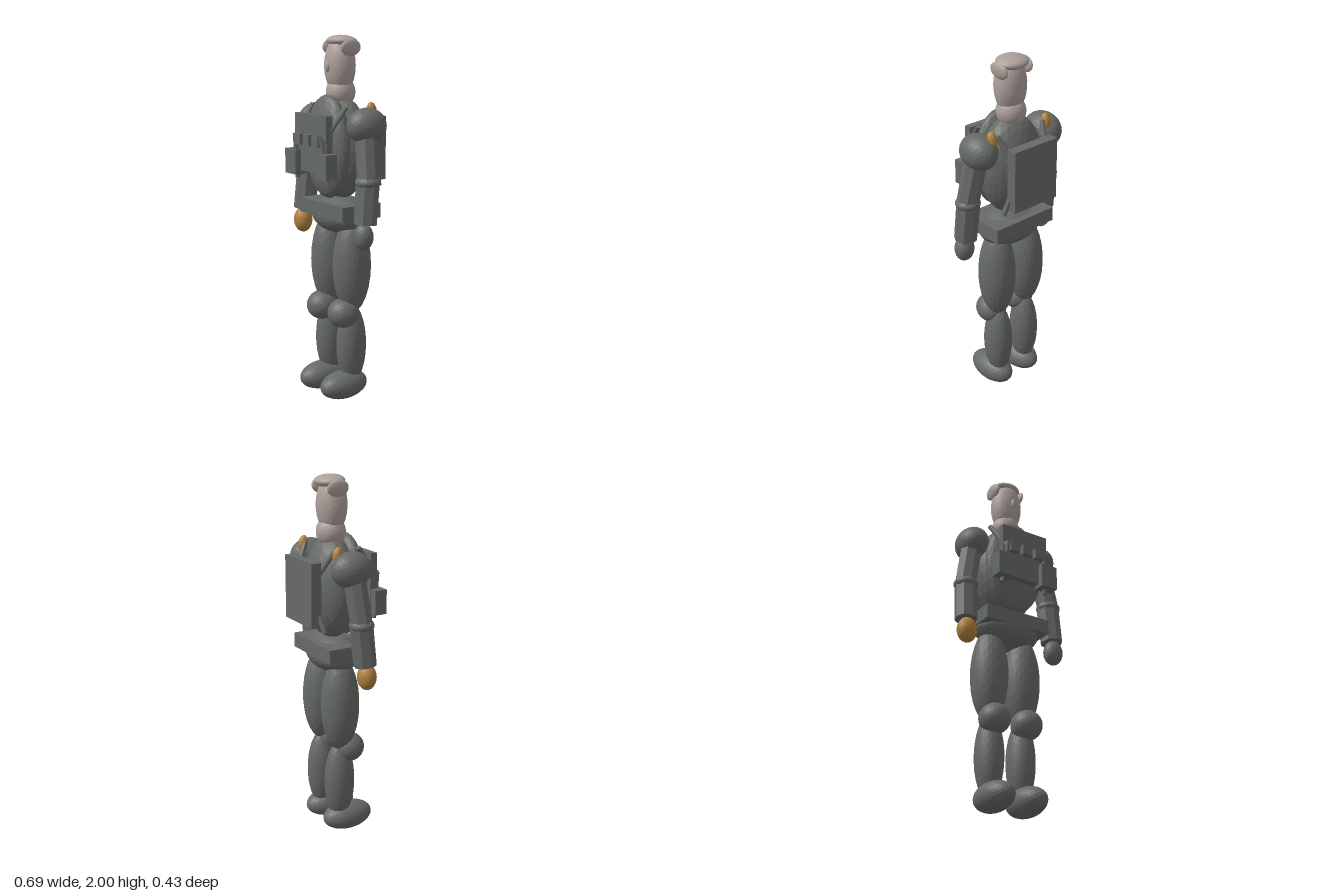
import * as THREE from 'three';

export function createModel() {
  const model = new THREE.Group();
  model.name = 'soldierFigure';

  const mat = (name, color) => {
    const m = new THREE.MeshStandardMaterial({ color, flatShading: true });
    m.name = name;
    return m;
  };
  const grey = mat('uniformGrey', 0x666a66);
  const skin = mat('paleSkin', 0xaca09a);
  const tan = mat('tanLeather', 0xb0803f);

  const add = (name, geometry, material, pos) => {
    const mesh = new THREE.Mesh(geometry, material);
    mesh.name = name;
    mesh.position.set(...pos);
    model.add(mesh);
    return mesh;
  };

  // Faceted ellipsoid with given centre and radii
  const ball = (name, pos, radii, material = grey, detail = 4) => {
    const mesh = add(name, new THREE.IcosahedronGeometry(1, detail), material, pos);
    mesh.scale.set(...radii);
    return mesh;
  };

  // Box from its minimum and maximum corners
  const box = (name, lo, hi) => add(
    name,
    new THREE.BoxGeometry(hi[0] - lo[0], hi[1] - lo[1], hi[2] - lo[2]),
    grey,
    lo.map((v, i) => (v + hi[i]) / 2)
  );

  // Tapered rod between two points
  const rod = (name, from, to, r0, r1, sides = 8) => {
    const a = new THREE.Vector3(...from);
    const b = new THREE.Vector3(...to);
    const dir = b.clone().sub(a);
    const mesh = add(name, new THREE.CylinderGeometry(r1, r0, dir.length(), sides), grey,
      a.clone().add(b).multiplyScalar(0.5).toArray());
    mesh.quaternion.setFromUnitVectors(new THREE.Vector3(0, 1, 0), dir.normalize());
    return mesh;
  };

  // Head and neck
  ball('head', [0, 1.84, -0.015], [0.09, 0.158, 0.082], skin);
  ball('neck', [0, 1.7, -0.02], [0.08, 0.085, 0.08], skin);
  ball('crown', [0, 1.967, -0.028], [0.09, 0.033, 0.08], skin).rotation.x = -0.06;
  ball('nose', [0, 1.835, 0.065], [0.015, 0.03, 0.015], skin, 2);

  // Trunk
  ball('torso', [0, 1.4, -0.02], [0.19, 0.28, 0.135]);
  ball('chest', [0, 1.41, 0.065], [0.18, 0.28, 0.078]);
  ball('pelvis', [0, 1.035, -0.012], [0.195, 0.105, 0.13]);
  box('belt', [-0.2, 1.03, -0.14], [0.2, 1.11, 0.115]);

  // Packs and plates
  box('backpack', [-0.145, 1.225, -0.218], [0.145, 1.57, -0.16]);
  box('chestPlate', [-0.145, 1.28, 0.14], [0.145, 1.59, 0.18]);
  for (const x of [-0.081, 0, 0.081]) {
    box('smallPouch', [x - 0.029, 1.425, 0.178], [x + 0.029, 1.485, 0.211]);
  }

  for (const s of [-1, 1]) {
    const side = s > 0 ? 'left' : 'right';

    ball(side + 'Ear', [s * 0.083, 1.935, -0.025], [0.019, 0.045, 0.064], skin, 3).rotation.z = s * -0.1;

    // Side pouch and harness straps
    const px = s * 0.14;
    box(side + 'SidePouch', [px - 0.05, 1.26, 0.145], [px + 0.05, 1.395, 0.215]);
    rod(side + 'FrontStrap', [s * 0.152, 1.63, 0.058], [s * 0.125, 1.45, 0.19], 0.014, 0.014);
    rod(side + 'LowerFrontStrap', [s * 0.12, 1.48, 0.195], [s * 0.14, 1.235, 0.165], 0.014, 0.014);
    rod(side + 'BackStrap', [s * 0.155, 1.62, -0.09], [s * 0.105, 1.48, -0.17], 0.015, 0.015);
    rod(side + 'LowerBackStrap', [s * 0.11, 1.35, -0.175], [s * 0.168, 1.2, -0.153], 0.015, 0.015);

    // Arm
    ball(side + 'Shoulder', [s * 0.222, 1.535, -0.025], [0.09, 0.096, 0.115]);
    ball(side + 'ShoulderTab', [s * 0.186, 1.61, -0.087], [0.026, 0.046, 0.027], tan, 2).rotation.x = 0.2;
    rod(side + 'UpperArm', [s * 0.228, 1.51, -0.015], [s * 0.277, 1.25, 0.005], 0.062, 0.06);
    ball(side + 'Elbow', [s * 0.275, 1.247, 0.007], [0.068, 0.04, 0.068], grey, 3);
    rod(side + 'Forearm', [s * 0.273, 1.25, 0.005], [s * 0.281, 1.025, 0.027], 0.064, 0.062);
    ball(side + 'Hand', [s * 0.281, 0.96, 0.038], [0.056, 0.072, 0.052], s < 0 ? tan : grey, 3);

    // Leg
    ball(side + 'Thigh', [s * 0.102, 0.76, -0.021], [0.102, 0.27, 0.108]);
    ball(side + 'Knee', [s * 0.1, 0.497, 0.034], [0.085, 0.083, 0.09]);
    ball(side + 'Shin', [s * 0.098, 0.305, -0.022], [0.077, 0.23, 0.087]);
    ball(side + 'Foot', [s * 0.099, 0.08, 0.03], [0.087, 0.08, 0.15]);
  }

  return model;
}
